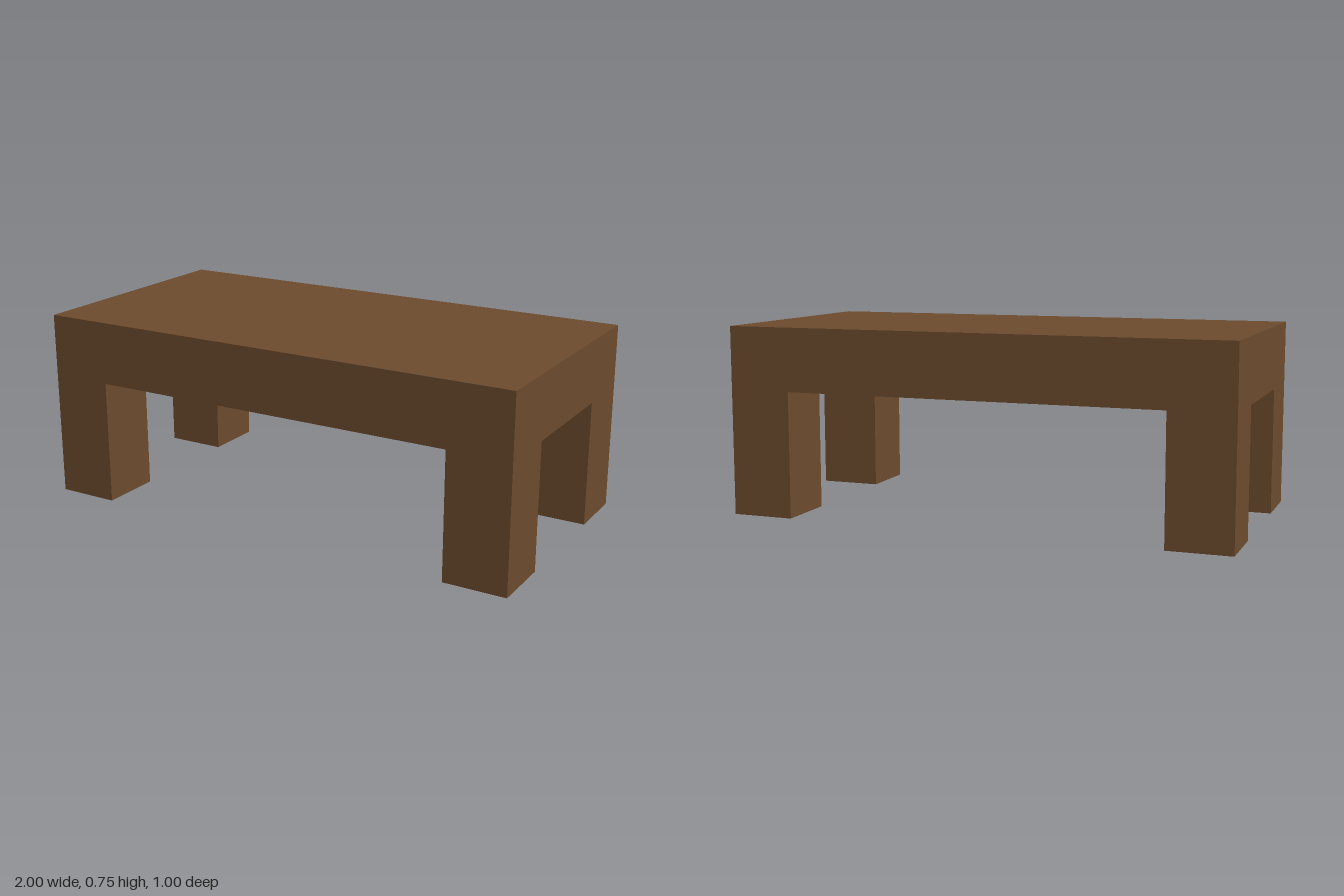
import * as THREE from 'three';

export function createModel() {
  const table = new THREE.Group();
  table.name = 'table';

  const wood = new THREE.MeshStandardMaterial({ color: 0x6b4a2d });
  wood.name = 'brown wood';

  // Thick slab top
  const top = new THREE.Mesh(new THREE.BoxGeometry(2, 0.25, 1), wood);
  top.name = 'tableTop';
  top.position.y = 0.625;
  table.add(top);

  // Four square legs, flush with the corners
  const legGeometry = new THREE.BoxGeometry(0.25, 0.5, 0.25);
  for (const [zName, z] of [['front', 1], ['back', -1]]) {
    for (const [xName, x] of [['Left', 1], ['Right', -1]]) {
      const leg = new THREE.Mesh(legGeometry, wood);
      leg.name = `${zName}${xName}Leg`;
      leg.position.set(x * 0.875, 0.25, z * 0.375);
      table.add(leg);
    }
  }

  return table;
}
